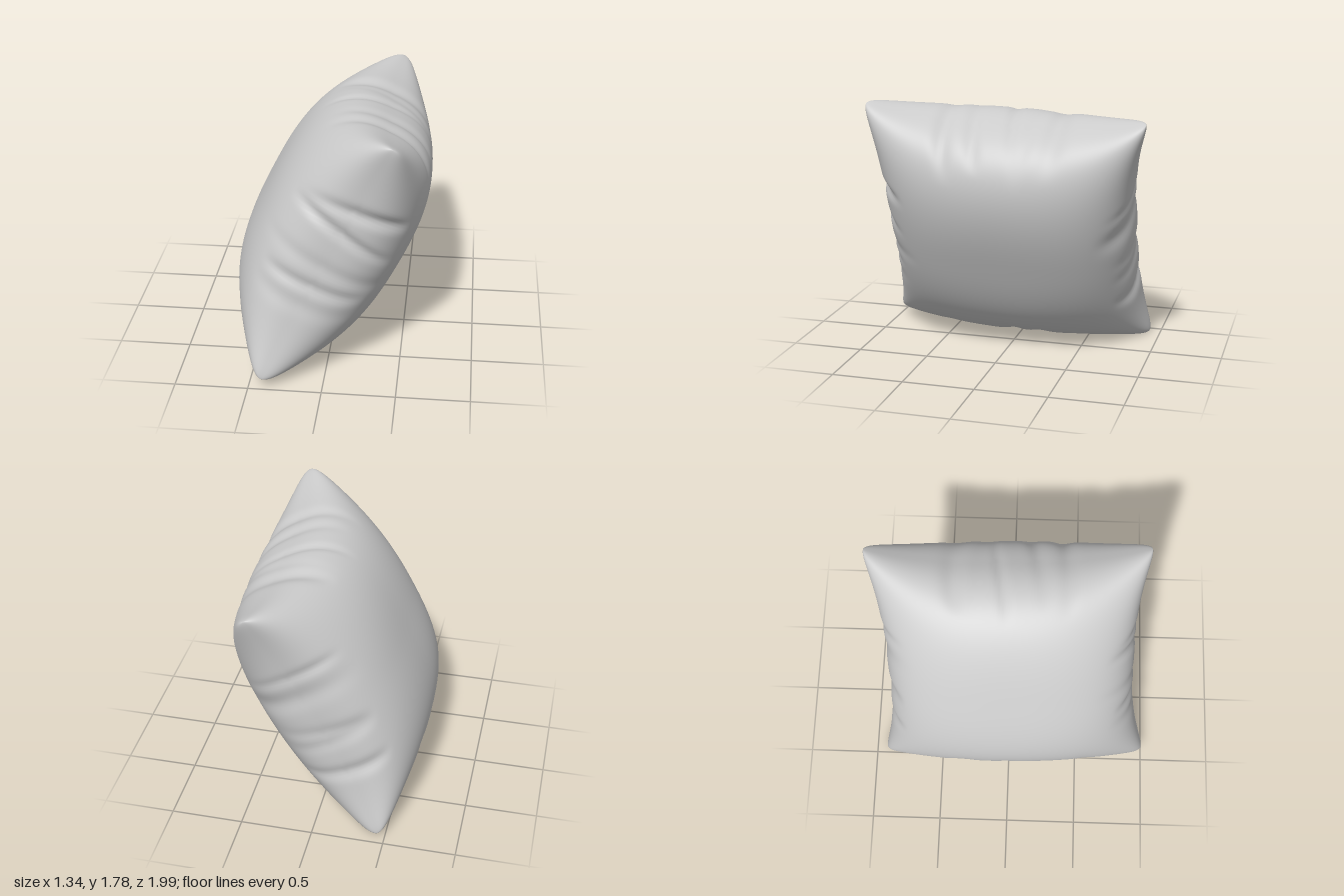
import * as THREE from 'three';
import { mergeVertices } from 'three/addons/utils/BufferGeometryUtils.js';

const N = 120; // grid divisions per face

// Small seeded generator for the fold pattern
function seeded(seed) {
  let s = seed;
  return () => (s = (s * 16807) % 2147483647) / 2147483647;
}

// Puckers along one edge: position, width, depth, reach inwards, slant,
// and lean, which makes a fold stronger on one face than on the other
function makeFolds(seed, count) {
  const rnd = seeded(seed);
  for (let i = 0; i < 5; i++) rnd();
  return Array.from({ length: count }, (_, i) => ({
    at: -0.55 + (1.1 * (i + 0.1 + 0.8 * rnd())) / count,
    width: 0.03 + 0.05 * rnd(),
    depth: 0.006 + 0.02 * rnd(),
    reach: 0.15 + 0.25 * rnd(),
    slant: (rnd() - 0.5) * 0.5,
    lean: (rnd() - 0.5) * 4.5,
  }));
}

// Depth of the puckers of one edge; across is 1 on the seam, 0 in the middle
function pucker(folds, along, across, height) {
  let sum = 0;
  for (const f of folds) {
    const d = (along - f.at - f.slant * height) / f.width;
    const fade = THREE.MathUtils.smoothstep(across, 1 - f.reach, 1);
    sum += f.depth * (1 + f.lean * height) * Math.exp(-d * d) * fade;
  }
  return sum;
}

const edges = {
  top: makeFolds(1187, 5),
  bottom: makeFolds(5231, 5),
  front: makeFolds(90441, 5),
  back: makeFolds(33127, 5),
};

// Puffed square: a and b run from -1 to 1, side is +1 or -1 for the two faces
function pillowPoint(a, b, side) {
  const A = Math.abs(a), B = Math.abs(b);
  const fill = (1 - A ** 2.8) * (1 - B ** 2.8);
  let h = side * 0.53 * Math.pow(fill, 0.38) * (1 - 0.3 * (A * B) ** 2);
  // edges bow inwards between the pulled-out corners, whose tips are rounded
  const tip = 0.03 * (A * B) ** 16;
  let y = a * (0.857 + 0.12 * B ** 3 - tip);
  let z = b * (0.87 + 0.12 * A ** 3 - tip);
  const pa = pucker(a > 0 ? edges.top : edges.bottom, b, A, h);
  const pb = pucker(b > 0 ? edges.front : edges.back, a, B, h);
  y -= Math.sign(a) * pa;
  z -= Math.sign(b) * pb;
  h *= 1 - 0.5 * (pa + pb);
  return [h, y, z];
}

function pillowGeometry() {
  const positions = [], index = [];
  // sine spacing packs the rows towards the seam
  const t = (i) => (i === 0 ? -1 : i === N ? 1 : Math.sin((i / N - 0.5) * Math.PI));
  for (const side of [1, -1]) {
    const base = positions.length / 3;
    for (let i = 0; i <= N; i++)
      for (let j = 0; j <= N; j++) positions.push(...pillowPoint(t(i), t(j), side));
    for (let i = 0; i < N; i++)
      for (let j = 0; j < N; j++) {
        const p = base + i * (N + 1) + j, q = p + N + 1;
        if (side > 0) index.push(p, q, q + 1, p, q + 1, p + 1);
        else index.push(p, q + 1, q, p, p + 1, q + 1);
      }
  }
  const geometry = new THREE.BufferGeometry();
  geometry.setAttribute('position', new THREE.Float32BufferAttribute(positions, 3));
  geometry.setIndex(index);
  // weld both faces along the seam for smooth shading
  const welded = mergeVertices(geometry, 1e-5);
  welded.computeVertexNormals();
  return welded;
}

export function createModel() {
  const group = new THREE.Group();
  group.name = 'pillow';
  const cushion = new THREE.Mesh(
    pillowGeometry(),
    new THREE.MeshStandardMaterial({ color: 0xcccccc })
  );
  cushion.name = 'cushion';
  // leaning over, with a slight turn in its own plane
  cushion.rotation.set(-0.039, 0, THREE.MathUtils.degToRad(-27), 'ZYX');
  cushion.position.y = 0.9;
  group.add(cushion);
  return group;
}
